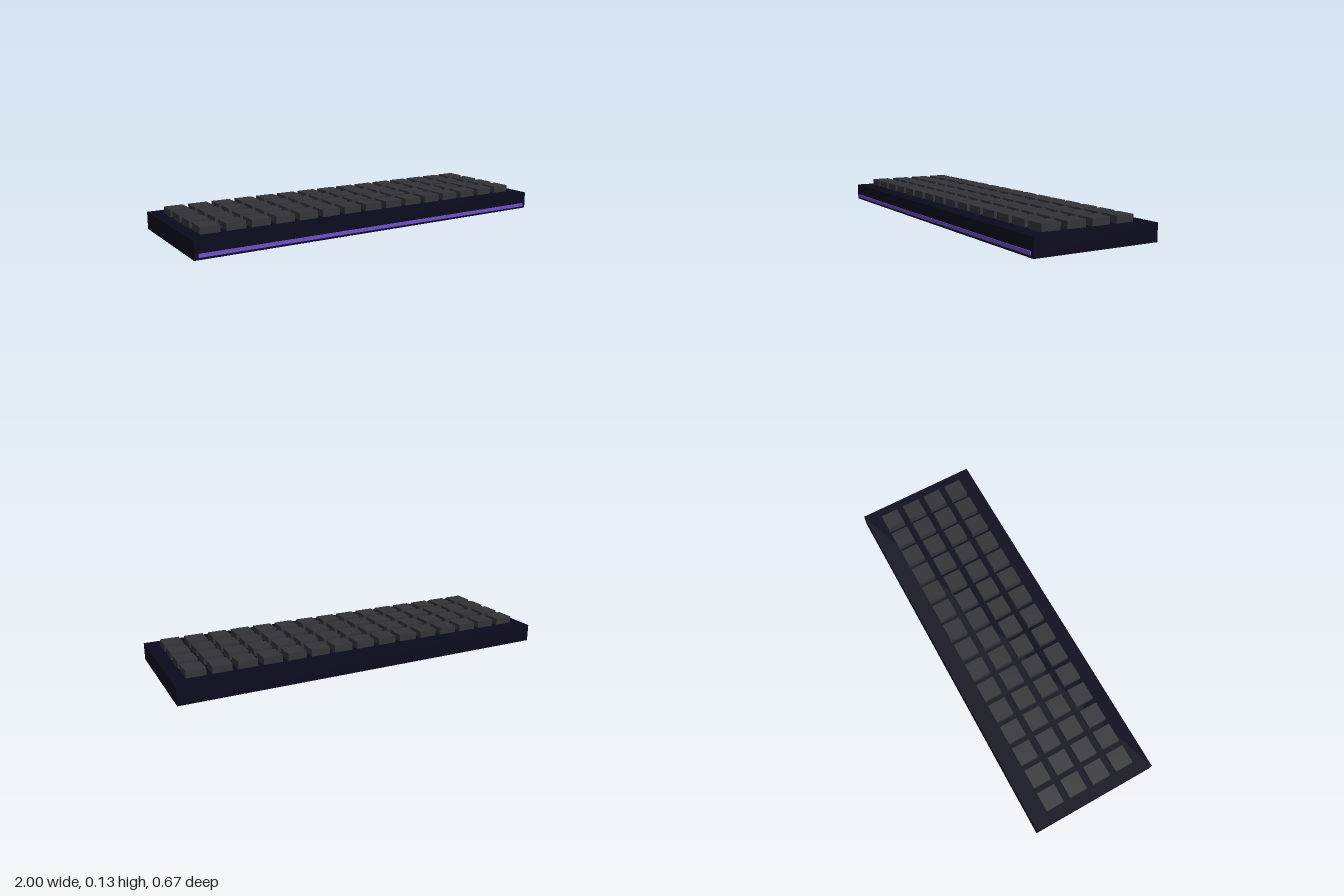
import * as THREE from 'three';

export function createModel() {
  const model = new THREE.Group();
  model.name = 'keyboard';

  const material = (name, color) => {
    const m = new THREE.MeshStandardMaterial({ color });
    m.name = name;
    return m;
  };
  const caseNavy = material('caseNavy', 0x0a0a1e);
  const keyGrey = material('keyGrey', 0x343338);
  const glowPurple = material('glowPurple', 0x6f4fc8);

  // Box placed by its centre in x and z and by its underside in y
  const addBox = (parent, name, mat, [w, h, d], [x, y, z]) => {
    const mesh = new THREE.Mesh(new THREE.BoxGeometry(w, h, d), mat);
    mesh.name = name;
    mesh.position.set(x, y + h / 2, z);
    parent.add(mesh);
  };

  // Case
  addBox(model, 'case', caseNavy, [2, 0.09, 0.668], [0, 0, -0.002]);

  // Light strip along the lower front edge
  addBox(model, 'lightStrip', glowPurple, [1.96, 0.018, 0.006], [0, 0.011, 0.333]);

  // Four rows of fifteen keys
  const keys = new THREE.Group();
  keys.name = 'keys';
  model.add(keys);
  const columns = 15, rows = 4, pitchX = 0.1267, pitchZ = 0.1335;
  for (let r = 0; r < rows; r++) {
    for (let c = 0; c < columns; c++) {
      const x = -0.003 + (c - (columns - 1) / 2) * pitchX;
      const z = -0.001 + (r - (rows - 1) / 2) * pitchZ;
      addBox(keys, 'key', keyGrey, [0.098, 0.037, 0.098], [x, 0.089, z]);
    }
  }

  return model;
}
